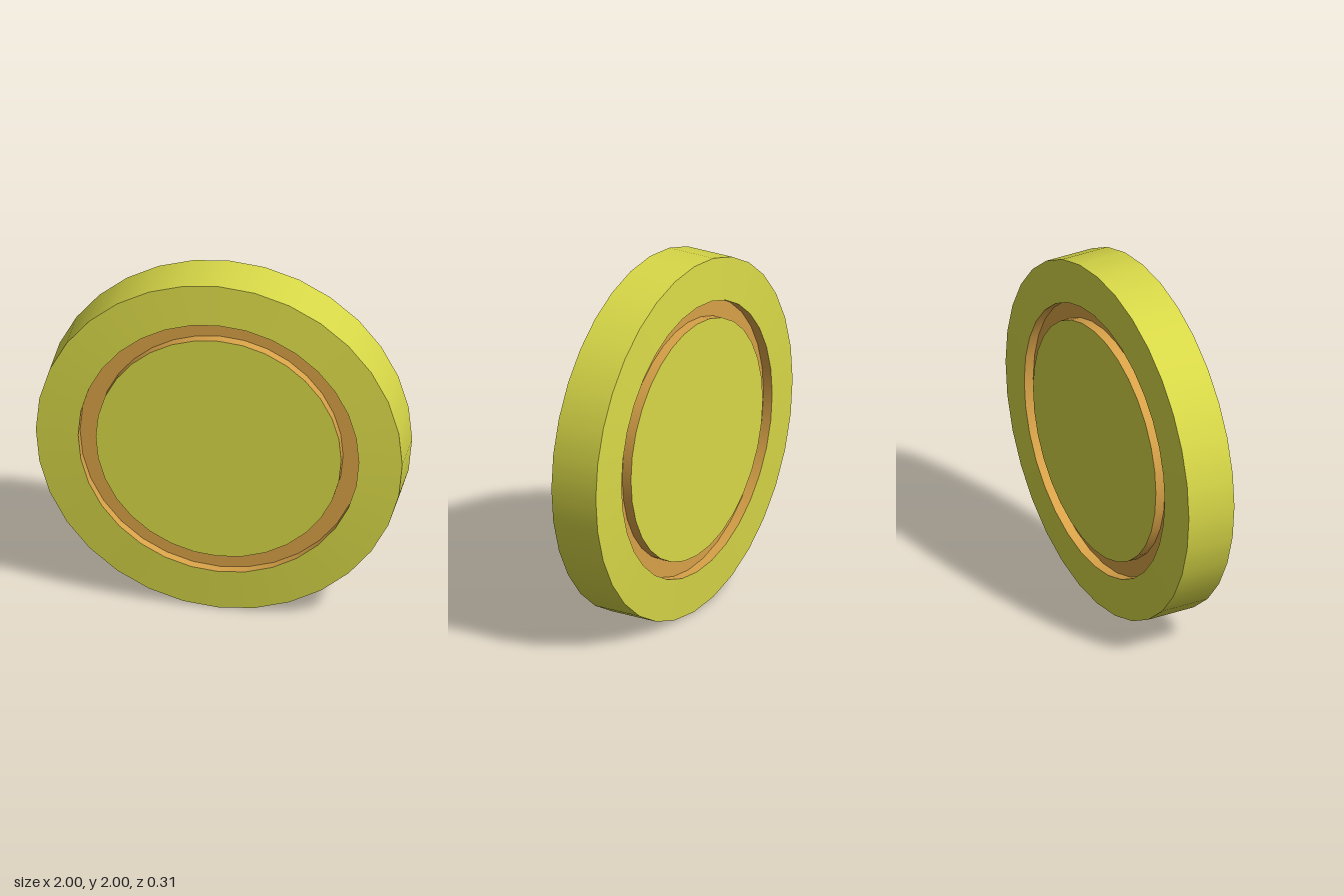
import * as THREE from 'three';
import { mergeGeometries } from 'three/addons/utils/BufferGeometryUtils.js';

const SIDES = 32;
const R = 1, EDGE = 0.14;             // outer wall radius and half thickness
const OUT = 0.766, IN = 0.67;         // groove radii
const FACE = 0.157, FLOOR = 0.102;    // half thickness at the faces and the groove floor

// Revolves each profile step on its own, so edges stay sharp and the round stays smooth
function bands(...profiles) {
  const parts = [];
  for (const p of profiles) {
    for (let i = 0; i < p.length - 1; i++) {
      const pts = [p[i], p[i + 1]].map(([r, h]) => new THREE.Vector2(r, h));
      parts.push(new THREE.LatheGeometry(pts, SIDES));
    }
  }
  return mergeGeometries(parts).rotateX(Math.PI / 2);
}

// Same profile on the opposite face, order reversed to keep it facing outward
const mirror = (p) => p.map(([r, h]) => [r, -h]).reverse();

export function createModel() {
  const yellow = new THREE.MeshStandardMaterial({ color: 0xd8d848 });
  const orange = new THREE.MeshStandardMaterial({ color: 0xd8a248 });

  const group = new THREE.Group();
  group.name = 'coin';
  const add = (name, geometry, material) => {
    const mesh = new THREE.Mesh(geometry, material);
    mesh.name = name;
    mesh.position.y = R;
    group.add(mesh);
  };

  // Outer wall with gently sloped faces
  add('rim', bands([[OUT, -FACE], [R, -EDGE], [R, EDGE], [OUT, FACE]]), yellow);

  // Groove and centre disc on both faces
  const groove = [[OUT, FACE], [OUT, FLOOR], [IN, FLOOR], [IN, FACE]];
  const disc = [[IN, FACE], [0, FACE]];
  add('frontGroove', bands(groove), orange);
  add('backGroove', bands(mirror(groove)), orange);
  add('frontDisc', bands(disc), yellow);
  add('backDisc', bands(mirror(disc)), yellow);

  return group;
}
